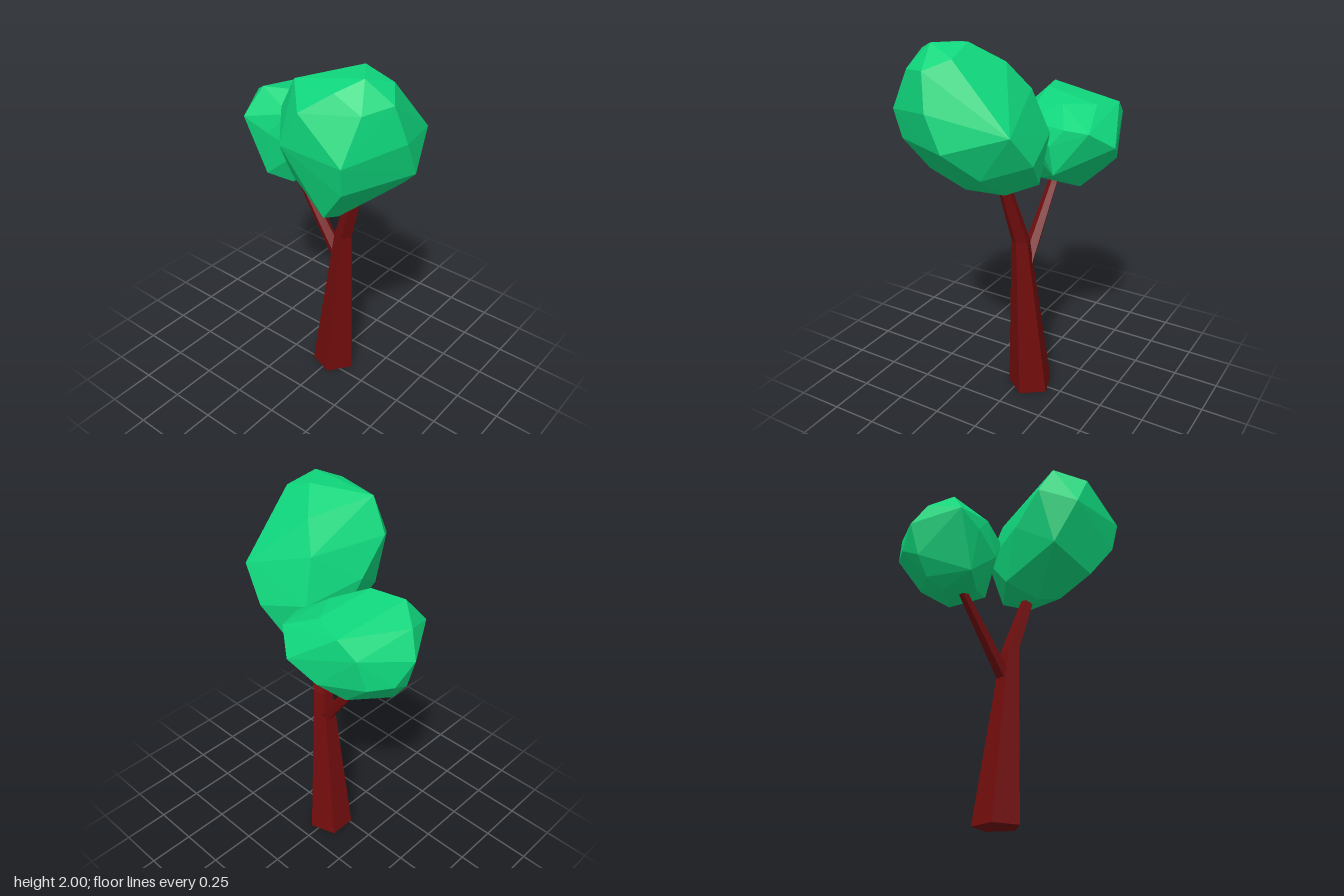
import * as THREE from 'three';
import { ConvexGeometry } from 'three/addons/geometries/ConvexGeometry.js';

// Five-sided loft through rings given as [x, y, z, radius], capped at both ends
function loft(rings, sides = 5) {
  const pos = [];
  const pt = (r, i) => {
    const a = (i / sides) * Math.PI * 2;
    return [r[0] + r[3] * Math.sin(a), r[1], r[2] + r[3] * Math.cos(a)];
  };
  const tri = (a, b, c) => pos.push(...a, ...b, ...c);
  for (let k = 0; k < rings.length - 1; k++) {
    const lo = rings[k], hi = rings[k + 1];
    for (let i = 0; i < sides; i++) {
      tri(pt(lo, i), pt(lo, i + 1), pt(hi, i + 1));
      tri(pt(lo, i), pt(hi, i + 1), pt(hi, i));
    }
  }
  const first = rings[0], last = rings[rings.length - 1];
  for (let i = 1; i < sides - 1; i++) {
    tri(pt(first, 0), pt(first, i + 1), pt(first, i));
    tri(pt(last, 0), pt(last, i), pt(last, i + 1));
  }
  const g = new THREE.BufferGeometry();
  g.setAttribute('position', new THREE.Float32BufferAttribute(pos, 3));
  g.computeVertexNormals();
  return g;
}

// Faceted leaf mass: convex shell around its corner points
const crown = (corners) => new ConvexGeometry(corners.map((c) => new THREE.Vector3(...c)));

export function createModel() {
  const tree = new THREE.Group();
  tree.name = 'tree';
  const bark = new THREE.MeshStandardMaterial({ name: 'bark', color: 0x720d0d });
  const leaves = new THREE.MeshStandardMaterial({ name: 'leaves', color: 0x0fd67c });

  const add = (name, geometry, material) => {
    const mesh = new THREE.Mesh(geometry, material);
    mesh.name = name;
    tree.add(mesh);
  };

  // Trunk tapers, then bends forward into the big crown
  add('trunk', loft([
    [0.06, 0, 0.006, 0.126],
    [0.038, 0.94, 0.08, 0.051],
    [0.004, 1.26, 0.18, 0.037],
    [0.0, 1.32, 0.2, 0.034],
  ]), bark);

  // Side branch leans back into the small crown
  add('branch', loft([
    [0.045, 0.78, 0.045, 0.044],
    [0.058, 1.16, -0.225, 0.028],
    [0.06, 1.26, -0.29, 0.026],
  ]), bark);

  // Large front crown, from top to bottom
  add('largeCrown', crown([
    [-0.25, 2.0, 0.4], [-0.11, 2.0, 0.3], [-0.36, 1.95, 0.32], [-0.32, 1.94, 0.07],
    [-0.1, 1.95, 0.45], [0.02, 1.9, 0.18], [-0.21, 1.9, 0.53], [-0.35, 1.88, 0.46],
    [-0.455, 1.86, 0.2], [0.1, 1.76, 0.08], [-0.3, 1.77, -0.03], [-0.17, 1.72, 0.58],
    [-0.46, 1.67, 0.44], [-0.465, 1.68, 0.1], [0.2, 1.63, 0.45], [-0.13, 1.6, -0.04],
    [0.18, 1.54, 0.04], [-0.09, 1.54, 0.58], [-0.43, 1.52, 0.42], [0.24, 1.46, 0.31],
    [-0.33, 1.46, 0.05], [0.03, 1.39, 0.44], [-0.38, 1.33, 0.28], [0.2, 1.32, 0.18],
    [0.0, 1.33, 0.01], [0.04, 1.25, 0.24], [-0.11, 1.23, 0.15], [-0.2, 1.23, 0.23],
  ]), leaves);

  // Small back crown, from top to bottom
  add('smallCrown', crown([
    [0.02, 1.69, -0.23], [-0.03, 1.68, -0.4], [0.17, 1.65, -0.11], [0.32, 1.645, -0.19],
    [0.37, 1.63, -0.35], [0.05, 1.61, -0.51], [-0.07, 1.6, -0.19], [0.0, 1.56, -0.03],
    [0.37, 1.55, 0.0], [0.25, 1.56, 0.03], [0.35, 1.55, -0.45], [-0.14, 1.54, -0.44],
    [0.1, 1.49, -0.58], [-0.12, 1.48, -0.3], [0.18, 1.47, 0.05], [0.46, 1.46, -0.12],
    [-0.07, 1.4, -0.13], [0.32, 1.39, -0.485], [0.2, 1.38, -0.55], [0.41, 1.36, -0.26],
    [0.2, 1.32, 0.04], [0.09, 1.32, -0.53], [0.3, 1.25, -0.34], [-0.1, 1.23, -0.33],
    [0.1, 1.22, -0.46], [0.24, 1.19, -0.19], [-0.02, 1.18, -0.22], [0.07, 1.17, -0.37],
  ]), leaves);

  return tree;
}
